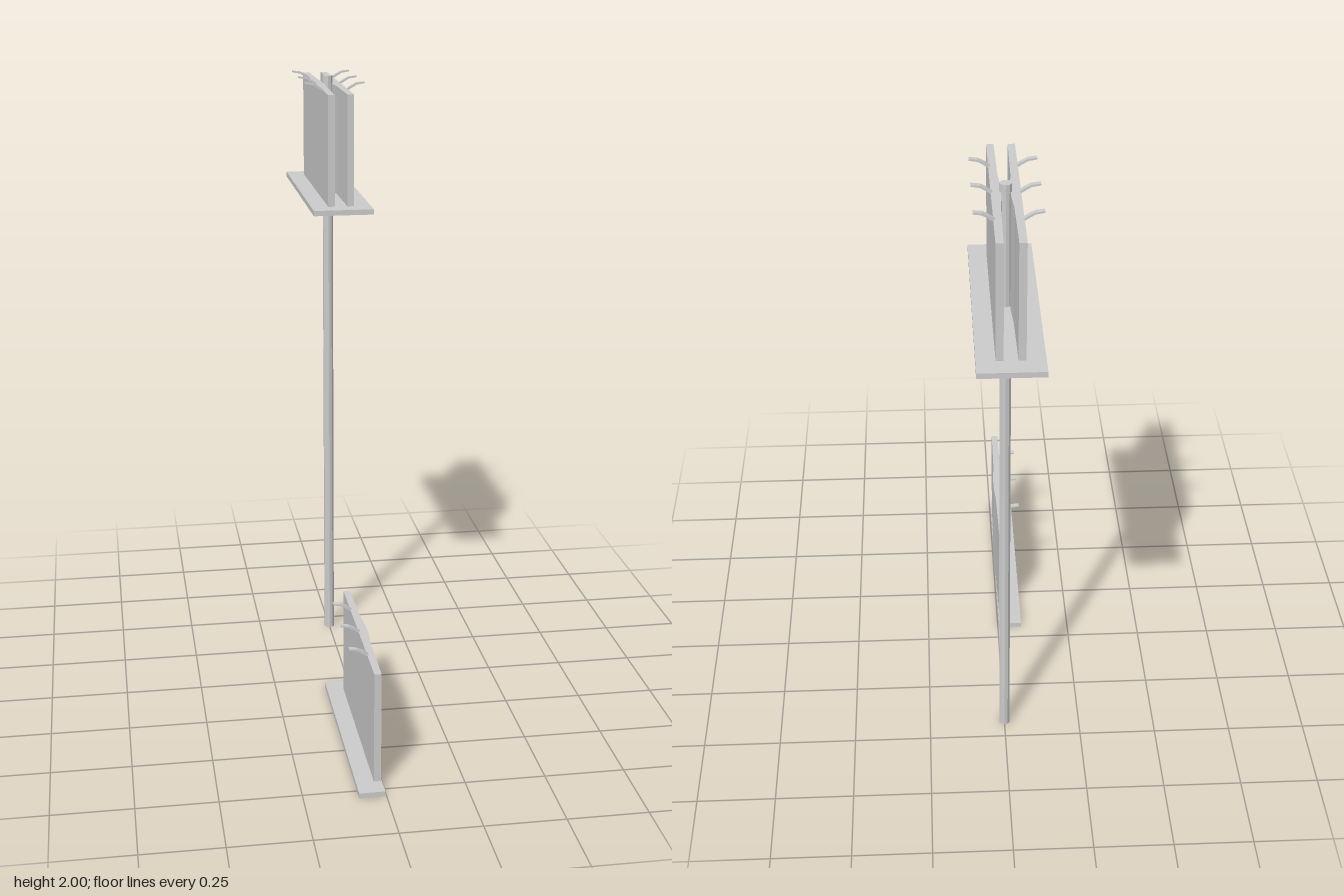
import * as THREE from 'three';

const material = new THREE.MeshStandardMaterial({ color: 0xcccccc, flatShading: true, side: THREE.DoubleSide });

function addMesh(parent, name, geometry, x = 0, y = 0, z = 0) {
  const mesh = new THREE.Mesh(geometry, material);
  mesh.name = name;
  mesh.position.set(x, y, z);
  parent.add(mesh);
  return mesh;
}

// Closed outline in (x, y), extruded by depth along z and centred there
function extrude(points, depth) {
  const shape = new THREE.Shape(points.map(([x, y]) => new THREE.Vector2(x, y)));
  return new THREE.ExtrudeGeometry(shape, { depth, bevelEnabled: false }).translate(0, 0, -depth / 2);
}

// One sign face looking towards -x: the inner side (x = 0) swells slightly at mid-length
function signFace(name, bottom, height) {
  const group = new THREE.Group();
  group.name = name;
  const half = 0.308;
  const plan = [
    [-0.023, -half], [-0.001, -half], [-0.001, -0.26], [0.001, -0.1], [0.006, -0.03],
    [0.006, 0.03], [0.001, 0.1], [-0.001, 0.26], [-0.001, half], [-0.023, half],
  ];
  const panel = extrude(plan, height).rotateX(-Math.PI / 2);
  addMesh(group, 'panel', panel, 0, bottom + height / 2, 0);

  // Bent lamp arms reaching out over the face
  const arm = [
    [-0.018, -0.008], [-0.036, 0.004], [-0.053, 0.014], [-0.078, 0.018],
    [-0.078, 0.023], [-0.052, 0.02], [-0.034, 0.011], [-0.018, 0.0],
  ];
  for (const z of [-0.167, 0, 0.167]) {
    addMesh(group, 'lampArm', extrude(arm, 0.016), 0, bottom + height, z);
  }
  return group;
}

export function createModel() {
  const model = new THREE.Group();
  model.name = 'billboards';

  // Tall double-sided billboard
  const tall = new THREE.Group();
  tall.name = 'tallBillboard';
  tall.position.z = -0.428;
  model.add(tall);
  addMesh(tall, 'pole', new THREE.CylinderGeometry(0.0175, 0.0175, 2, 10), 0, 1, 0);
  addMesh(tall, 'platform', new THREE.BoxGeometry(0.194, 0.017, 0.74), 0, 1.6085, 0);
  for (const side of [0, 1]) {
    const face = signFace(side ? 'leftSign' : 'rightSign', 1.61, 0.365);
    face.position.x = side ? 0.019 : -0.019;
    face.rotation.y = side * Math.PI;
    tall.add(face);
  }

  // Low single-sided billboard
  const low = new THREE.Group();
  low.name = 'lowBillboard';
  low.position.z = 0.424;
  model.add(low);
  addMesh(low, 'base', new THREE.BoxGeometry(0.08, 0.017, 0.74), -0.044, 0.0085, 0);
  const face = signFace('sign', 0, 0.375);
  face.position.x = -0.006;
  low.add(face);

  return model;
}
